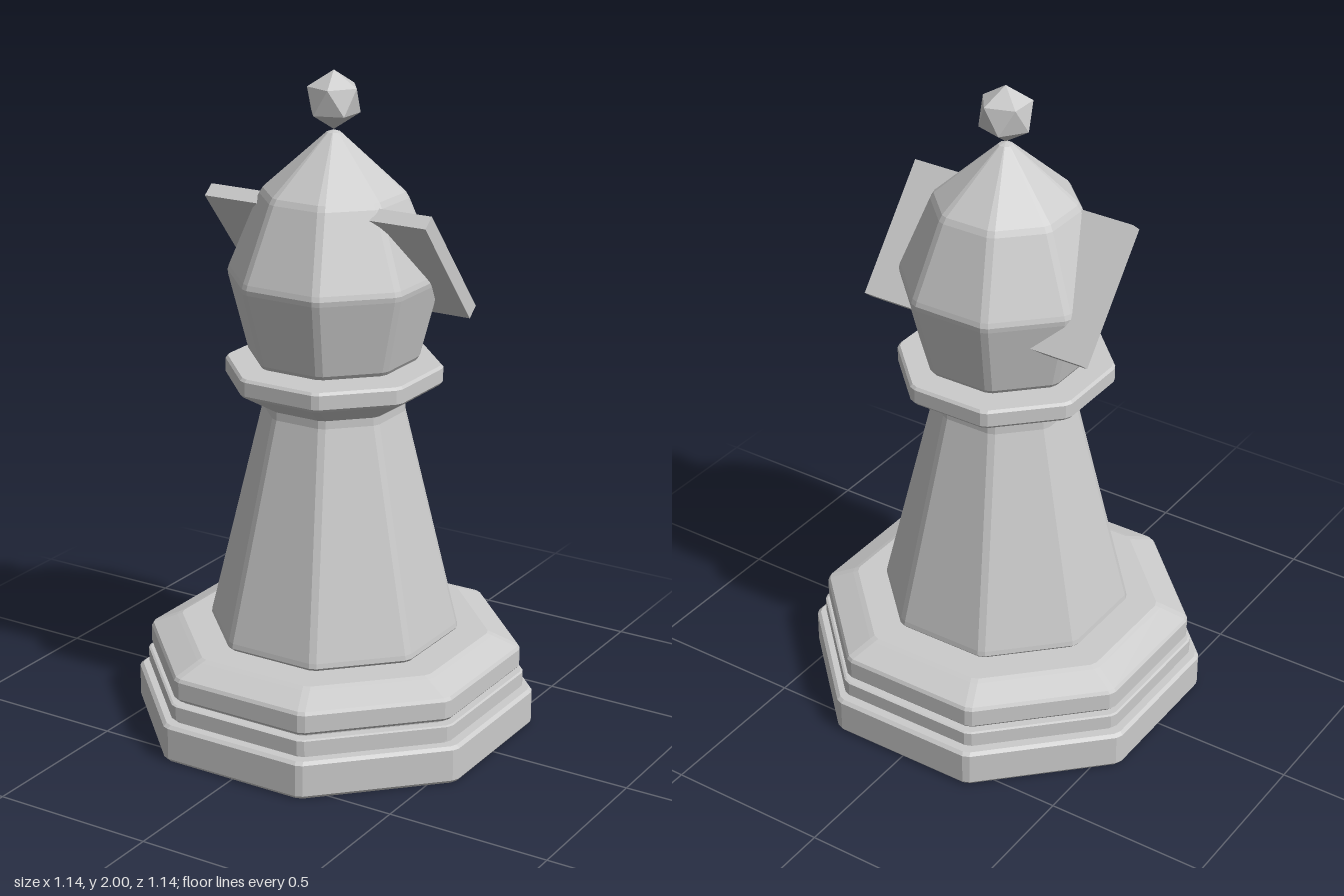
import * as THREE from 'three';

const material = new THREE.MeshStandardMaterial({ color: 0xcccccc, flatShading: true });

// Octagon with slightly cut corners; r is the distance from the axis to a flat side.
function octagonRing(r, y) {
  const cut = Math.min(0.012, r * 0.06);
  const half = r * Math.tan(Math.PI / 8) - cut;
  const ring = [];
  for (let k = 0; k < 8; k++) {
    const s = Math.sin(k * Math.PI / 4), c = Math.cos(k * Math.PI / 4);
    for (const t of [-half, half]) ring.push([s * r + c * t, y, c * r - s * t]);
  }
  return ring;
}

// Skins a bottom-to-top profile of [r, y] with octagonal rings.
function octagonLoft(profile) {
  const rings = profile.map(([r, y]) => octagonRing(r, y));
  const positions = [];
  for (let j = 0; j < rings.length - 1; j++) {
    const low = rings[j], high = rings[j + 1];
    for (let i = 0; i < low.length; i++) {
      const n = (i + 1) % low.length;
      if (profile[j][0] > 0) positions.push(...low[i], ...low[n], ...high[n]);
      if (profile[j + 1][0] > 0) positions.push(...low[i], ...high[n], ...high[i]);
    }
  }
  const geometry = new THREE.BufferGeometry();
  geometry.setAttribute('position', new THREE.Float32BufferAttribute(positions, 3));
  geometry.computeVertexNormals();
  return geometry;
}

export function createModel() {
  const group = new THREE.Group();
  const add = (name, geometry) => {
    const mesh = new THREE.Mesh(geometry, material);
    mesh.name = name;
    group.add(mesh);
    return mesh;
  };

  // Stepped foot: slab, narrow band and sloped plinth, separated by grooves
  add('base', octagonLoft([
    [0, 0], [0.56, 0], [0.568, 0.01], [0.568, 0.107], [0.558, 0.116],
    [0.53, 0.116], [0.53, 0.125], [0.541, 0.127], [0.541, 0.17], [0.535, 0.173],
    [0.51, 0.173], [0.51, 0.182], [0.522, 0.182], [0.531, 0.192], [0.531, 0.245],
    [0.525, 0.255], [0.455, 0.287], [0.44, 0.293], [0, 0.293],
  ]));

  // Tapered body flaring into the collar
  add('body', octagonLoft([
    [0, 0.296], [0.346, 0.296], [0.354, 0.305], [0.352, 0.32], [0.202, 0.99],
    [0.202, 1.015], [0.295, 1.075], [0.304, 1.085], [0.304, 1.127], [0.297, 1.135], [0, 1.135],
  ]));

  // Pointed head
  add('head', octagonLoft([
    [0, 1.143], [0.2, 1.146], [0.232, 1.15], [0.24, 1.162], [0.293, 1.385], [0.295, 1.4],
    [0.291, 1.415], [0.206, 1.635], [0.196, 1.652], [0.02, 1.82], [0, 1.827],
  ]));

  // Slanted plate crossing the head, rising towards the front
  const plate = add('slantedPlate', new THREE.BoxGeometry(0.746, 0.046, 0.42));
  plate.position.set(0, 1.46, -0.034);
  plate.rotation.x = -Math.atan2(0.325, 0.265);

  // Faceted ball, standing on one corner
  const ball = new THREE.IcosahedronGeometry(0.086, 0);
  ball.rotateX(-Math.atan((1 + Math.sqrt(5)) / 2));
  ball.rotateY(Math.PI / 2);
  add('finial', ball).position.y = 1.914;

  return group;
}
